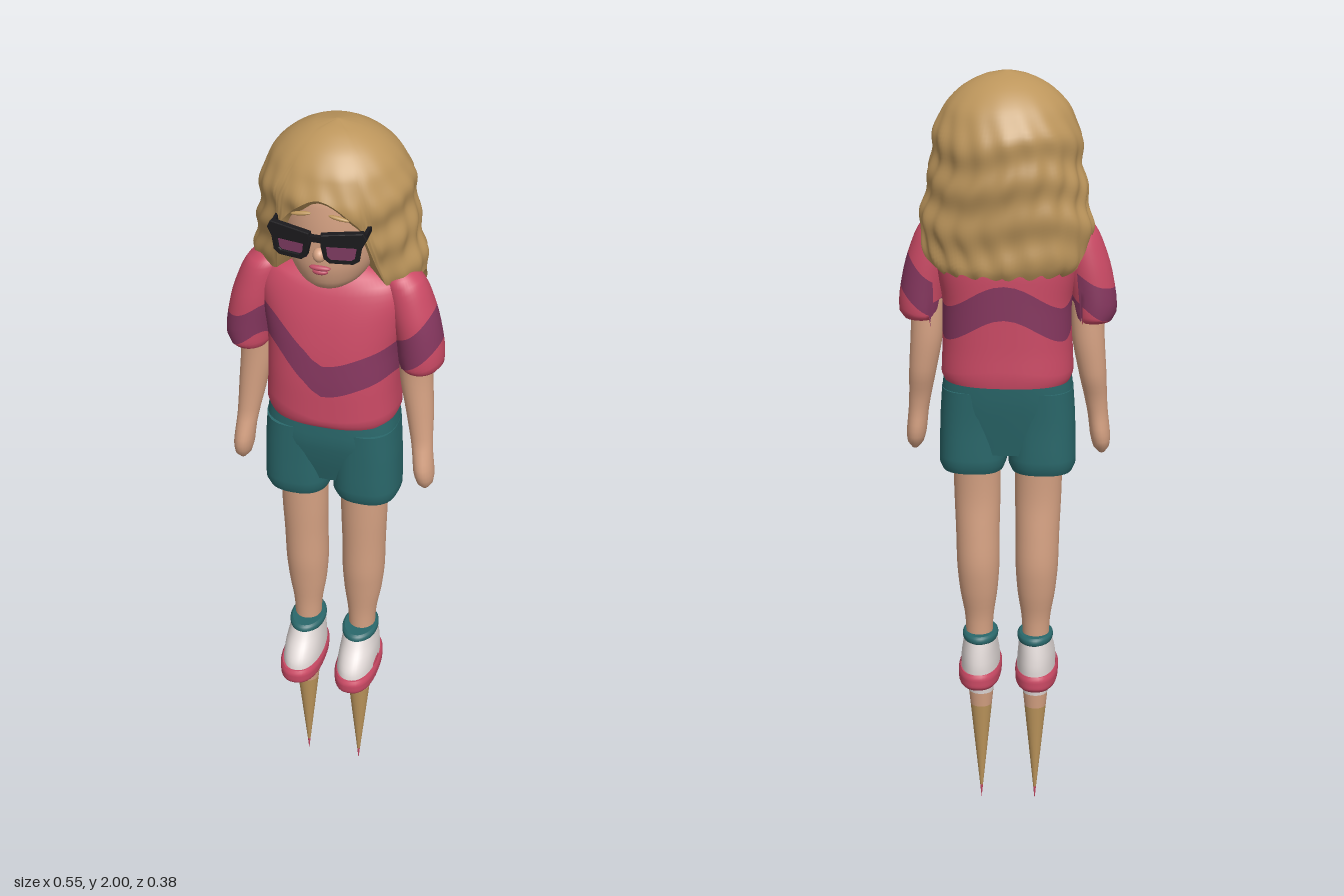
import * as THREE from 'three';

const mat = (name, color) => Object.assign(new THREE.MeshStandardMaterial({ color }), { name });

// Monotone cubic through rows [t, a, b, ...]; returns [a, b, ...] at t
function sample(keys, t) {
  const n = keys.length;
  t = Math.min(Math.max(t, keys[0][0]), keys[n - 1][0]);
  let k = 0;
  while (k < n - 2 && t > keys[k + 1][0]) k++;
  const h = keys[k + 1][0] - keys[k][0], u = (t - keys[k][0]) / h;
  const out = [];
  for (let c = 1; c < keys[0].length; c++) {
    const sec = i => (keys[i + 1][c] - keys[i][c]) / (keys[i + 1][0] - keys[i][0]);
    const slope = i => {
      if (i === 0) return sec(0);
      if (i === n - 1) return sec(n - 2);
      const a = sec(i - 1), b = sec(i);
      return a * b <= 0 ? 0 : (2 * a * b) / (a + b);
    };
    const p = keys[k][c], q = keys[k + 1][c];
    out.push(p * (1 - 3 * u * u + 2 * u ** 3) + q * (3 * u * u - 2 * u ** 3)
      + h * (slope(k) * (u - 2 * u * u + u ** 3) + slope(k + 1) * (u ** 3 - u * u)));
  }
  return out;
}

// Upright loft from rows [y, centreX, halfWidth, zBack, zFront].
// stops(phi) gives the heights that part the surface into zones of steps[i] rows.
function loft(keys, { sides = 40, power = 2, steps = [24], stops, ripple, bottomCentre } = {}) {
  const y0 = keys[0][0], y1 = keys[keys.length - 1][0];
  const pos = [], idx = [], geo = new THREE.BufferGeometry();
  const rows = steps.reduce((a, b) => a + b, 0);
  const bend = v => Math.sign(v) * Math.abs(v) ** (2 / power);
  const point = (y, phi) => {
    const [cx, rx, zb, zf] = sample(keys, y), f = ripple ? ripple(y, phi) : 1;
    return [cx + rx * f * bend(Math.sin(phi)), y, (zb + zf) / 2 + ((zf - zb) / 2) * f * bend(Math.cos(phi))];
  };
  const heights = [];
  for (let j = 0; j < sides; j++) {
    const phi = (j / sides) * Math.PI * 2;
    const marks = stops ? stops(phi, point) : [y0, y1], ys = [marks[0]];
    steps.forEach((s, k) => {
      for (let i = 1; i <= s; i++) ys.push(marks[k] + ((marks[k + 1] - marks[k]) * i) / s);
    });
    heights.push(ys);
  }
  for (let i = 0; i <= rows; i++)
    for (let j = 0; j < sides; j++) pos.push(...point(heights[j][i], (j / sides) * Math.PI * 2));
  let row = 0;
  steps.forEach((s, k) => {
    const start = idx.length;
    for (let e = row + s; row < e; row++)
      for (let j = 0; j < sides; j++) {
        const a = row * sides + j, b = row * sides + ((j + 1) % sides);
        idx.push(a, b, b + sides, a, b + sides, a + sides);
      }
    geo.addGroup(start, idx.length - start, k);
  });
  // End caps with their own vertices
  const capStart = idx.length;
  for (const top of [false, true]) {
    const base = pos.length / 3, from = top ? rows * sides * 3 : 0;
    for (let j = 0; j < sides * 3; j++) pos.push(pos[from + j]);
    const k = keys[top ? keys.length - 1 : 0];
    pos.push(...(!top && bottomCentre ? bottomCentre : [k[1], k[0], (k[3] + k[4]) / 2]));
    for (let j = 0; j < sides; j++) {
      const a = base + j, b = base + ((j + 1) % sides), c = base + sides;
      idx.push(c, ...(top ? [a, b] : [b, a]));
    }
  }
  geo.addGroup(capStart, idx.length - capStart, 0);
  geo.setAttribute('position', new THREE.Float32BufferAttribute(pos, 3));
  geo.setIndex(idx);
  geo.computeVertexNormals();
  return geo;
}

export function createModel() {
  const model = new THREE.Group();
  model.name = 'figure';
  const skin = mat('skin', 0xd6a283), hairTan = mat('hair tan', 0xbd965c), pink = mat('pink', 0xcb4a65);
  const purple = mat('purple', 0x86375f), teal = mat('teal', 0x2a686b), white = mat('white', 0xe2dad8);
  const black = mat('black', 0x1b1a1d), lensMat = mat('lens plum', 0x7c3a60), lipMat = mat('lip rose', 0xc04f66);

  const add = (name, geo, material, parent = model) => {
    const m = new THREE.Mesh(geo, material);
    m.name = name;
    parent.add(m);
    return m;
  };
  const blob = (name, material, p, s) => {
    const m = add(name, new THREE.SphereGeometry(1, 20, 14), material);
    m.position.set(...p);
    m.scale.set(...s);
    return m;
  };
  const shift = (keys, s) => keys.map(([y, cx, ...r]) => [y, cx * s, ...r]);

  // Wavy stripe around the shirt
  const wave = [[-0.28, 1.42], [-0.24, 1.43], [-0.15, 1.485], [-0.05, 1.405], [0, 1.365], [0.1, 1.395], [0.2, 1.44], [0.28, 1.51]];
  const stripe = (x, z) => {
    const t = Math.abs(x) > 0.19 ? 1 : THREE.MathUtils.smoothstep(z, -0.06, 0.09);
    return sample(wave, x)[0] * t + (1.41 + 0.035 * Math.cos(x * 18)) * (1 - t);
  };
  const striped = (y0, y1) => (phi, point) => {
    const [x, , z] = point(1.43, phi), c = stripe(x, z);
    return [y0, c - 0.043, c + 0.043, y1];
  };
  const shirtMats = [pink, purple, pink];
  add('shirt', loft([
    [1.225, 0, 0.16, -0.098, 0.14], [1.24, 0, 0.167, -0.102, 0.148], [1.32, 0, 0.164, -0.1, 0.148],
    [1.42, 0, 0.163, -0.1, 0.142], [1.5, 0, 0.175, -0.1, 0.13], [1.57, 0, 0.185, -0.09, 0.112],
    [1.62, 0, 0.165, -0.06, 0.09], [1.645, 0, 0.09, -0.03, 0.06],
  ], { sides: 64, power: 2.5, steps: [8, 4, 12], stops: striped(1.225, 1.645) }), shirtMats);

  // Shorts
  add('shortsHips', loft([
    [1.03, 0, 0.16, -0.045, 0.095], [1.12, 0, 0.17, -0.062, 0.12], [1.18, 0, 0.168, -0.072, 0.13],
    [1.26, 0, 0.158, -0.08, 0.13],
  ], { power: 2.8, steps: [10] }), teal);

  for (const s of [1, -1]) {
    const side = s > 0 ? 'left' : 'right';
    add(side + 'Sleeve', loft(shift([
      [1.378, 0.216, 0.046, -0.03, 0.078], [1.39, 0.218, 0.055, -0.038, 0.086], [1.42, 0.217, 0.057, -0.04, 0.088],
      [1.5, 0.204, 0.058, -0.04, 0.088], [1.58, 0.183, 0.054, -0.036, 0.08], [1.625, 0.168, 0.045, -0.025, 0.068],
      [1.645, 0.158, 0.02, 0, 0.04],
    ], s), { steps: [5, 4, 9], stops: striped(1.378, 1.645) }), shirtMats);

    add(side + 'Arm', loft(shift([
      [1.02, 0.241, 0.008, 0.03, 0.05], [1.035, 0.24, 0.02, 0.012, 0.066], [1.075, 0.236, 0.026, 0.002, 0.078],
      [1.12, 0.231, 0.026, 0.004, 0.068], [1.16, 0.226, 0.028, 0, 0.058], [1.24, 0.216, 0.035, -0.02, 0.054],
      [1.34, 0.204, 0.041, -0.027, 0.052], [1.43, 0.2, 0.042, -0.025, 0.055],
    ], s), { sides: 24 }), skin);

    add(side + 'ShortsLeg', loft(shift([
      [0.978, 0.089, 0.078, -0.048, 0.107], [0.99, 0.089, 0.086, -0.056, 0.115], [1.1, 0.087, 0.086, -0.06, 0.121],
      [1.2, 0.083, 0.084, -0.068, 0.126],
    ], s), { power: 2.5, steps: [12] }), teal);

    add(side + 'Leg', loft(shift([
      [0.48, 0.075, 0.034, -0.014, 0.06], [0.55, 0.075, 0.037, -0.016, 0.061], [0.64, 0.076, 0.05, -0.032, 0.07],
      [0.72, 0.077, 0.056, -0.04, 0.078], [0.8, 0.078, 0.057, -0.036, 0.08], [0.9, 0.079, 0.06, -0.03, 0.084],
      [1.02, 0.08, 0.062, -0.035, 0.088],
    ], s), { sides: 32 }), skin);

    // Shoe, sock cuff and sole
    add(side + 'ShoeUpper', loft(shift([
      [0.4, 0.075, 0.052, -0.05, 0.163], [0.425, 0.075, 0.051, -0.05, 0.158], [0.45, 0.075, 0.049, -0.047, 0.142],
      [0.48, 0.074, 0.045, -0.041, 0.115], [0.505, 0.073, 0.042, -0.035, 0.098],
    ], s), { power: 2.2, steps: [10] }), white);
    add(side + 'SockCuff', loft(shift([
      [0.493, 0.073, 0.044, -0.036, 0.098], [0.5, 0.073, 0.047, -0.04, 0.102], [0.509, 0.073, 0.047, -0.039, 0.1],
      [0.515, 0.073, 0.041, -0.032, 0.092],
    ], s), { steps: [6] }), teal);
    add(side + 'Sole', loft(shift([
      [0.367, 0.076, 0.05, -0.048, 0.162], [0.376, 0.076, 0.056, -0.056, 0.17], [0.4, 0.076, 0.057, -0.056, 0.171],
      [0.412, 0.076, 0.052, -0.051, 0.165],
    ], s), { power: 2.4, steps: [8] }), pink);
    blob(side + 'ShoeSidePatch', pink, [s * 0.122, 0.41, 0.06], [0.006, 0.02, 0.034]);

    // Pointed stake under the foot, in colour bands
    [[0, 0.04, pink], [0.04, 0.29, hairTan], [0.29, 0.33, skin], [0.33, 0.372, white]].forEach(([a, b, m]) => {
      const band = add(side + 'Stake', new THREE.CylinderGeometry(b * 0.1, a * 0.1, b - a, 24, 1, true), m);
      band.position.set(s * 0.073, (a + b) / 2, 0.04);
    });

    // Sunglasses half: frame with a hole, lens and temple
    const half = new THREE.Group();
    half.name = side + 'Eyewear';
    half.position.set(s * 0.058, 0, 0.172);
    half.rotation.y = s * 0.16;
    model.add(half);
    const frame = new THREE.Shape([[-0.045, 1.802], [0.05, 1.812], [0.057, 1.797], [0.046, 1.775], [0.041, 1.742], [0.028, 1.733],
      [-0.026, 1.733], [-0.038, 1.743], [-0.045, 1.775]].map(([x, y]) => new THREE.Vector2(x * s, y)));
    frame.holes.push(new THREE.Path([[-0.034, 1.775], [0.036, 1.775], [0.032, 1.748], [0.024, 1.742],
      [-0.023, 1.742], [-0.031, 1.749]].map(([x, y]) => new THREE.Vector2(x * s, y))));
    add(side + 'Frame', new THREE.ExtrudeGeometry(frame, {
      depth: 0.012, bevelEnabled: true, bevelSize: 0.002, bevelThickness: 0.002, bevelSegments: 2,
    }), black, half);
    add(side + 'Lens', new THREE.BoxGeometry(0.076, 0.044, 0.006), lensMat, half).position.set(0, 1.76, 0.006);
    const temple = add(side + 'Temple', new THREE.BoxGeometry(0.008, 0.016, 0.13), black);
    temple.position.set(s * 0.11, 1.795, 0.105);

    // Brow
    const brow = blob(side + 'Brow', hairTan, [s * 0.045, 1.828, 0.149], [0.025, 0.005, 0.006]);
    brow.rotation.z = -s * 0.15;
  }
  add('eyewearBridge', new THREE.BoxGeometry(0.036, 0.014, 0.012), black).position.set(0, 1.79, 0.186);

  // Head
  add('neck', new THREE.CylinderGeometry(0.05, 0.055, 0.1, 24), skin).position.set(0, 1.62, 0.02);
  add('head', loft([
    [1.605, 0, 0.02, 0.03, 0.09], [1.615, 0, 0.052, -0.01, 0.118], [1.64, 0, 0.083, -0.05, 0.138],
    [1.7, 0, 0.111, -0.09, 0.152], [1.78, 0, 0.125, -0.11, 0.154], [1.86, 0, 0.12, -0.1, 0.148],
    [1.91, 0, 0.09, -0.08, 0.11],
  ]), skin);
  blob('nose', skin, [0, 1.728, 0.154], [0.016, 0.018, 0.018]);
  blob('upperLip', lipMat, [0, 1.691, 0.151], [0.026, 0.007, 0.009]);
  blob('lowerLip', lipMat, [0, 1.68, 0.149], [0.019, 0.008, 0.01]);

  // Wavy hair; the hem rises over the face and drops at the back
  const step = THREE.MathUtils.smoothstep;
  const hem = phi => {
    const d = Math.abs(THREE.MathUtils.radToDeg(Math.atan2(Math.sin(phi), Math.cos(phi))));
    return 1.872 - 0.08 * Math.min(d / 32, 1) ** 1.7 - 0.182 * step(d, 30, 41) - 0.088 * step(d, 88, 118)
      + 0.006 * Math.sin(d * 0.35) * step(d, 45, 60);
  };
  add('hair', loft([
    [1.5, 0, 0.155, -0.145, 0.06], [1.54, 0, 0.19, -0.16, 0.075], [1.62, 0, 0.211, -0.165, 0.1],
    [1.7, 0, 0.2, -0.175, 0.132], [1.78, 0, 0.186, -0.181, 0.155], [1.85, 0, 0.18, -0.178, 0.163],
    [1.91, 0, 0.157, -0.152, 0.142], [1.955, 0, 0.118, -0.112, 0.107], [1.985, 0, 0.068, -0.064, 0.062],
    [1.997, 0, 0.03, -0.026, 0.026], [2, 0, 0.004, -0.003, 0.003],
  ], {
    sides: 128, steps: [44], bottomCentre: [0, 1.68, -0.03],
    stops: phi => [hem(phi), 2],
    ripple: (y, phi) => {
      const fade = 1 - step(y, 1.8, 1.97);
      return 1 + fade * (0.022 * Math.sin(y * 62 + 1.2 * Math.sin(3 * phi)) + 0.016 * Math.cos(18 * phi + 2 * Math.sin(y * 20)));
    },
  }), hairTan);

  return model;
}
